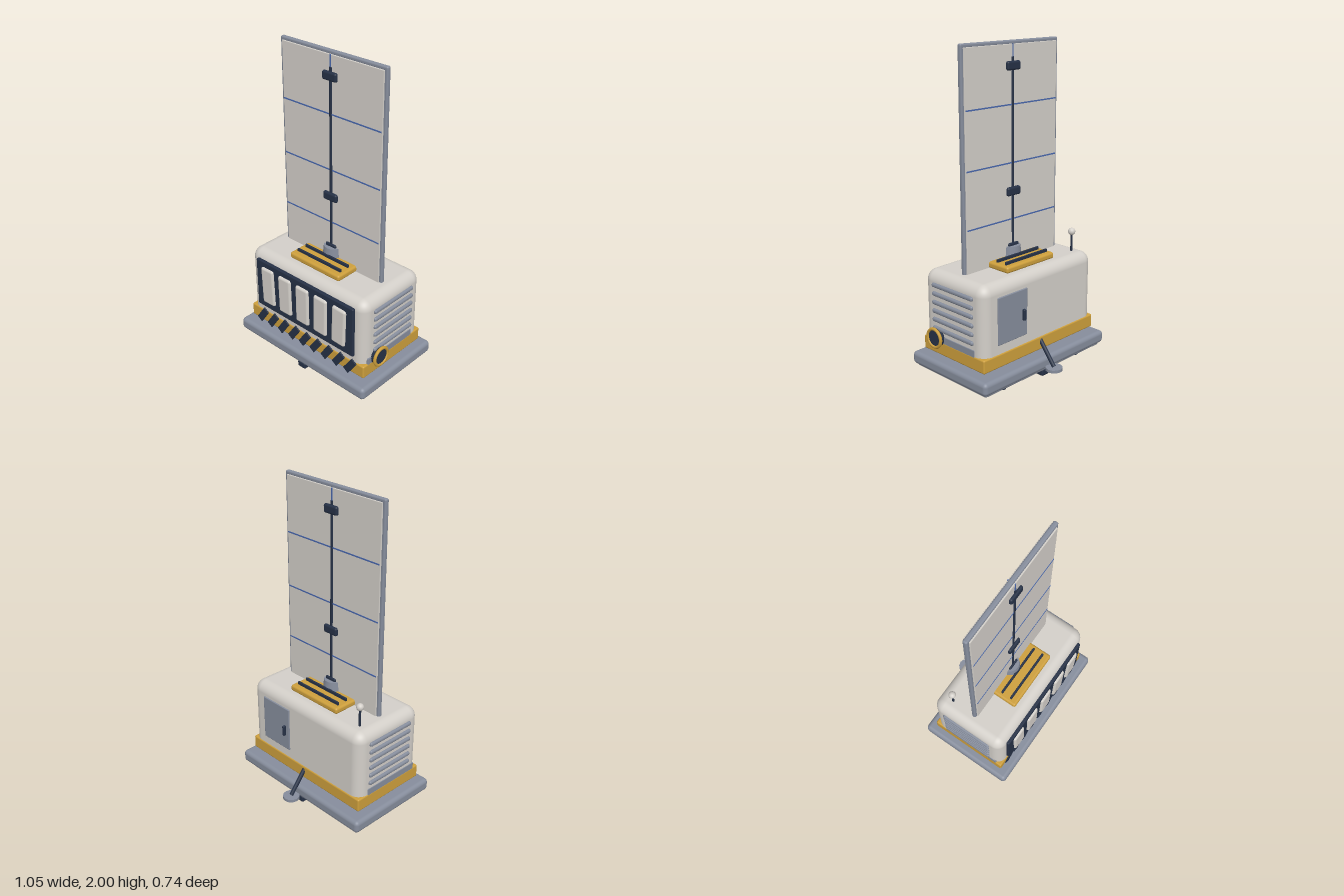
import * as THREE from 'three';
import { RoundedBoxGeometry } from 'three/addons/geometries/RoundedBoxGeometry.js';

const material = (name, color) => {
  const m = new THREE.MeshStandardMaterial({ color });
  m.name = name;
  return m;
};

export function createModel() {
  const cream = material('cream', 0xd3cfc9);
  const yellow = material('yellow', 0xcd9f3c);
  const grey = material('grey', 0x868d9c);
  const navy = material('navy', 0x263146);
  const blue = material('blue', 0x4a68ad);

  const model = new THREE.Group();
  model.name = 'solarGenerator';
  const CZ = 0.045; // depth centre of the main body

  const add = (name, geometry, mat, x, y, z) => {
    const mesh = new THREE.Mesh(geometry, mat);
    mesh.name = name;
    mesh.position.set(x, y, z);
    model.add(mesh);
    return mesh;
  };
  const box = (name, mat, w, h, d, x, y, z, r = 0.006, seg = 2) =>
    add(name, new RoundedBoxGeometry(w, h, d, seg, Math.min(r, w * 0.49, h * 0.49, d * 0.49)), mat, x, y, z);
  const cyl = (name, mat, rTop, rBottom, h, x, y, z, sides = 16) =>
    add(name, new THREE.CylinderGeometry(rTop, rBottom, h, sides), mat, x, y, z);
  // rod between two points
  const rod = (name, mat, r, a, b) => {
    const from = new THREE.Vector3(...a), to = new THREE.Vector3(...b);
    const mid = from.clone().add(to).multiplyScalar(0.5);
    const mesh = cyl(name, mat, r, r, from.distanceTo(to), mid.x, mid.y, mid.z, 12);
    mesh.quaternion.setFromUnitVectors(new THREE.Vector3(0, 1, 0), to.sub(from).normalize());
    return mesh;
  };

  // platform and underside rails
  box('platform', grey, 1.046, 0.08, 0.64, 0, 0.125, CZ, 0.025, 4);
  box('platformUnderside', grey, 1.0, 0.035, 0.6, 0, 0.0865, CZ, 0.012);
  for (const x of [-0.32, 0.32]) box('sideRail', navy, 0.03, 0.035, 0.54, x, 0.06, CZ, 0.01);
  box('centreRail', navy, 0.065, 0.045, 0.6, 0, 0.055, CZ, 0.012);
  cyl('railHub', navy, 0.035, 0.035, 0.13, 0, 0.035, CZ).rotation.z = Math.PI / 2;

  // housing and skirt
  box('housing', cream, 0.94, 0.54, 0.51, 0, 0.43, CZ, 0.065, 6);
  box('skirt', yellow, 0.948, 0.085, 0.52, 0, 0.2325, CZ, 0.01);
  for (const s of [-1, 1]) box('sideFootPlate', grey, 0.012, 0.06, 0.4, s * 0.467, 0.283, 0.065, 0.005);

  // hazard stripes
  for (let i = 0; i < 9; i++) {
    box('hazardStripe', navy, 0.045, 0.115, 0.009, (i - 4) * 0.093, 0.235, 0.308, 0.002, 1).rotation.z = -0.6;
  }

  // front battery panel
  box('frontPanel', navy, 0.8, 0.335, 0.025, 0, 0.485, 0.305, 0.008);
  for (let i = -2; i <= 2; i++) {
    const cell = box('batteryCell', cream, 0.105, 0.255, 0.04, i * 0.147, 0.49, 0.312, 0.016, 4);
    cell.rotation.z = -i * 0.017;
  }

  // side louvres
  for (const s of [-1, 1]) {
    for (let i = 0; i < 6; i++) {
      box('sideLouvre', grey, 0.03, 0.027, 0.345, s * 0.469, 0.352 + i * 0.0535, CZ, 0.012, 3);
    }
  }

  // round side port
  cyl('sidePort', navy, 0.056, 0.056, 0.035, 0.485, 0.3, 0.18, 24).rotation.z = Math.PI / 2;
  add('sidePortRing', new THREE.TorusGeometry(0.056, 0.01, 8, 28), yellow, 0.5, 0.3, 0.18).rotation.y = Math.PI / 2;

  // back door and handle
  box('backDoor', grey, 0.235, 0.29, 0.012, 0.2425, 0.475, -0.212, 0.005);
  box('doorHandle', navy, 0.018, 0.07, 0.022, 0.16, 0.465, -0.226, 0.007);

  // rear prop and foot
  rod('rearProp', navy, 0.013, [0, 0.265, -0.195], [0, 0.11, -0.318]);
  cyl('rearFoot', grey, 0.052, 0.052, 0.018, 0, 0.1, -0.318, 12);

  // roof vent
  box('roofVent', yellow, 0.4, 0.04, 0.35, 0, 0.717, CZ, 0.014, 3);
  for (const z of [-0.087, -0.02, 0.108, 0.173]) box('ventSlat', navy, 0.35, 0.03, 0.013, 0, 0.74, z, 0.003, 1);

  // aerial
  cyl('aerialRod', navy, 0.007, 0.007, 0.13, -0.377, 0.75, -0.115, 8);
  add('aerialBall', new THREE.SphereGeometry(0.023, 16, 12), cream, -0.377, 0.825, -0.115);

  // mast
  cyl('mastCollar', grey, 0.06, 0.066, 0.06, 0, 0.765, CZ, 16);
  box('mastSocket', navy, 0.08, 0.03, 0.065, 0, 0.797, CZ, 0.008);
  cyl('mast', navy, 0.016, 0.016, 1.16, 0, 1.33, CZ, 12).scale.z = 1.75;
  for (const y of [1.13, 1.86]) box('mastClamp', navy, 0.105, 0.052, 0.077, 0, y, CZ, 0.012);

  // solar panel with frame and seams
  box('solarPanel', cream, 0.74, 1.36, 0.042, 0, 1.3, CZ, 0.003, 1);
  for (const s of [-1, 1]) box('frameUpright', grey, 0.026, 1.4, 0.028, s * 0.375, 1.3, CZ, 0.01, 3);
  for (const y of [0.613, 1.987]) box('frameRail', grey, 0.776, 0.026, 0.028, 0, y, CZ, 0.01, 3);
  for (const s of [-1, 1]) {
    const z = CZ + s * 0.0215;
    for (const y of [0.96, 1.3, 1.64]) add('panelSeam', new THREE.BoxGeometry(0.73, 0.008, 0.004), blue, 0, y, z);
    add('panelSpineSeam', new THREE.BoxGeometry(0.007, 1.36, 0.004), blue, 0, 1.3, z);
  }

  return model;
}
